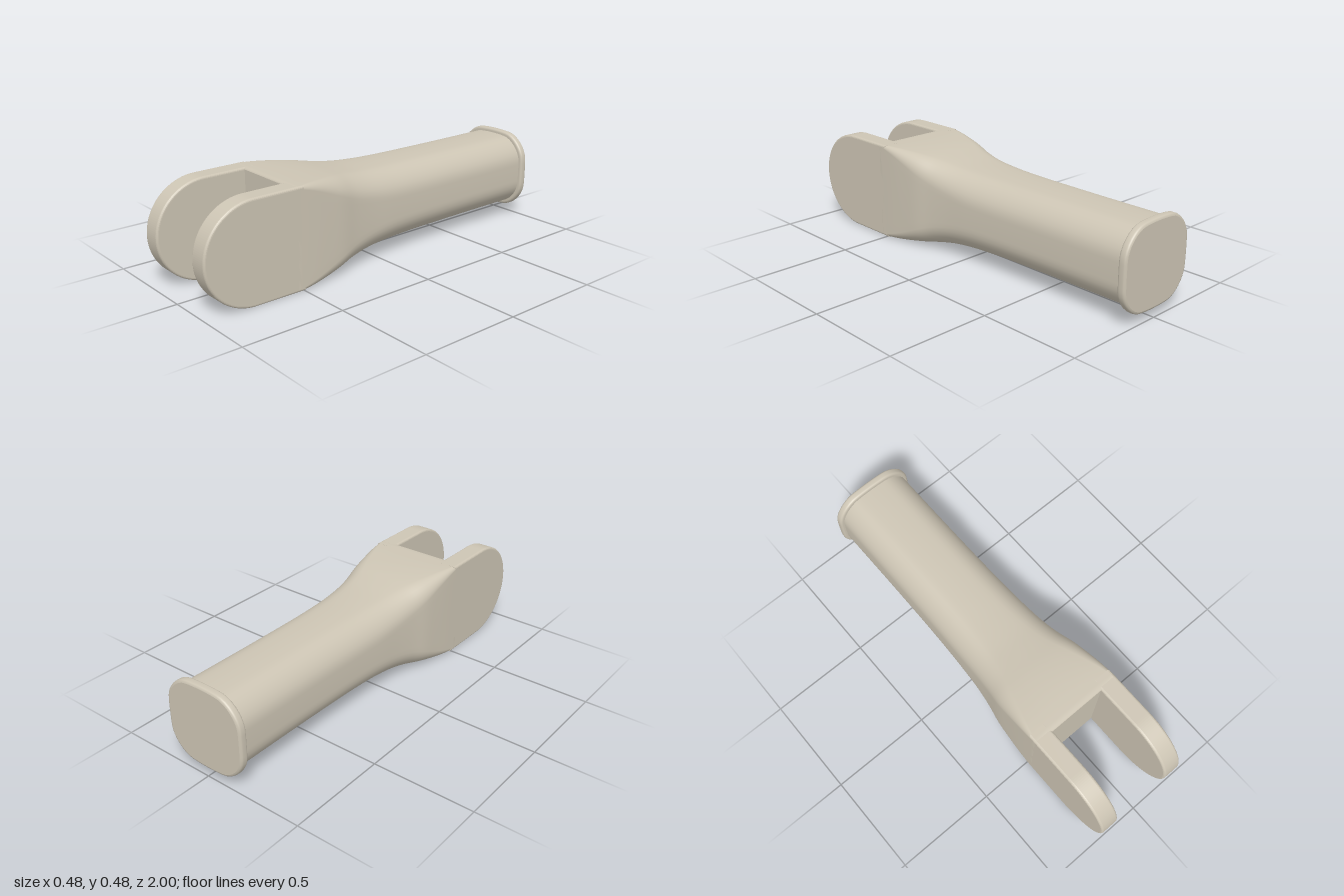
import * as THREE from 'three';

const MID = 0.242; // height of the long axis

// Rounded rectangle with gently bulged sides, counter-clockwise seen from +z
function section(hw, hh, r, bulge, arc = 8, side = 8) {
  const bs = bulge * 0.4, w = hw - bs, h = hh - bulge, pts = [];
  for (let q = 0; q < 4; q++) {
    const sx = q === 0 || q === 3 ? 1 : -1, sy = q < 2 ? 1 : -1;
    for (let i = 0; i <= arc; i++) {
      const a = (q + i / arc) * Math.PI / 2;
      pts.push([sx * (w - r) + r * Math.cos(a), sy * (h - r) + r * Math.sin(a)]);
    }
    const last = pts[pts.length - 1];
    const next = [[-(w - r), h], [-w, -(h - r)], [w - r, -h], [w, h - r]][q];
    for (let i = 1; i < side; i++) {
      const t = i / side;
      pts.push([last[0] + (next[0] - last[0]) * t, last[1] + (next[1] - last[1]) * t]);
    }
  }
  return pts.map(([x, y]) => [
    x + bs * (x / w) * (1 - (y / h) ** 2),
    y + bulge * (y / h) * (1 - (x / w) ** 2),
  ]);
}

// Skin a row of sections [z, halfWidth, halfHeight, radius, bulge] and cap both ends
function loft(rows) {
  const pos = [], idx = [];
  const rings = rows.map(([z, ...s]) => section(...s).map(([x, y]) => [x, y + MID, z]));
  const n = rings[0].length;
  rings.forEach(ring => ring.forEach(p => pos.push(...p)));
  for (let i = 0; i < rings.length - 1; i++) {
    for (let j = 0; j < n; j++) {
      const a = i * n + j, b = i * n + (j + 1) % n;
      idx.push(a, b, b + n, a, b + n, a + n);
    }
  }
  [[rings[0], true], [rings[rings.length - 1], false]].forEach(([ring, back]) => {
    const c = pos.length / 3;
    pos.push(0, MID, ring[0][2]);
    ring.forEach(p => pos.push(...p));
    for (let j = 0; j < n; j++) {
      const a = c + 1 + j, b = c + 1 + (j + 1) % n;
      idx.push(c, back ? b : a, back ? a : b);
    }
  });
  const g = new THREE.BufferGeometry();
  g.setAttribute('position', new THREE.Float32BufferAttribute(pos, 3));
  g.setIndex(idx);
  g.computeVertexNormals();
  return g;
}

// Shaft stations: z, half width, half height, corner radius, bulge
const STATIONS = [
  [-0.97, 0.193, 0.184, 0.105, 0.02],
  [-0.7, 0.193, 0.184, 0.105, 0.02],
  [-0.45, 0.194, 0.185, 0.105, 0.02],
  [-0.2, 0.198, 0.187, 0.105, 0.02],
  [-0.05, 0.203, 0.191, 0.105, 0.018],
  [0.08, 0.209, 0.2, 0.1, 0.015],
  [0.18, 0.219, 0.214, 0.095, 0.011],
  [0.27, 0.233, 0.228, 0.08, 0.007],
  [0.36, 0.238, 0.237, 0.055, 0.004],
  [0.44, 0.24, 0.241, 0.032, 0.001],
  [0.51, 0.24, 0.242, 0.013, 0],
];

function shaftGeometry() {
  const curve = new THREE.CubicInterpolant(
    STATIONS.map(s => s[0]), STATIONS.flatMap(s => s.slice(1)), 4, new Float32Array(4));
  const rows = [];
  const steps = 60;
  for (let i = 0; i <= steps; i++) {
    const z = -0.97 + 1.48 * i / steps;
    rows.push([z, ...curve.evaluate(z)]);
  }
  // softened floor of the fork slot
  rows.push([0.53, 0.24, 0.242, 0.013, 0]);
  rows.push([0.537, 0.237, 0.239, 0.013, 0]);
  rows.push([0.54, 0.231, 0.233, 0.013, 0]);
  return loft(rows);
}

// Rounded lip at the rear end
function collarGeometry() {
  const profile = [[-1, 0.012], [-0.998, 0.006], [-0.994, 0.002], [-0.988, 0],
    [-0.972, 0], [-0.966, 0.002], [-0.962, 0.006], [-0.96, 0.012], [-0.96, 0.03]];
  return loft(profile.map(([z, d]) => [z, 0.212 - d, 0.204 - d, 0.115 - d, 0.022]));
}

// Fork prong: round-nosed plate with bevelled edges
function prongGeometry() {
  const bevel = 0.011, h = 0.242 - bevel, nose = 0.75;
  const shape = new THREE.Shape();
  shape.moveTo(0.5, -h);
  shape.lineTo(nose, -h);
  shape.absellipse(nose, 0, 1 - bevel - nose, h, -Math.PI / 2, Math.PI / 2, false, 0);
  shape.lineTo(0.5, h);
  shape.closePath();
  const thick = 0.095;
  const g = new THREE.ExtrudeGeometry(shape, {
    depth: thick - 2 * bevel, bevelEnabled: true, bevelSize: bevel,
    bevelThickness: bevel, bevelSegments: 4, curveSegments: 40,
  });
  g.translate(0, 0, -(thick / 2 - bevel));
  g.rotateY(-Math.PI / 2); // outline runs along +z, thickness along x
  return g;
}

export function createModel() {
  const stone = new THREE.MeshStandardMaterial({ color: 0xcdc5b4 });
  stone.name = 'warm grey';
  const model = new THREE.Group();
  model.name = 'forkedArm';
  const add = (name, geometry, x = 0, y = 0) => {
    const mesh = new THREE.Mesh(geometry, stone);
    mesh.name = name;
    mesh.position.set(x, y, 0);
    model.add(mesh);
  };
  add('shaft', shaftGeometry());
  add('endCollar', collarGeometry());
  const prong = prongGeometry();
  add('leftProng', prong, 0.1925, MID);
  add('rightProng', prong, -0.1925, MID);
  return model;
}
